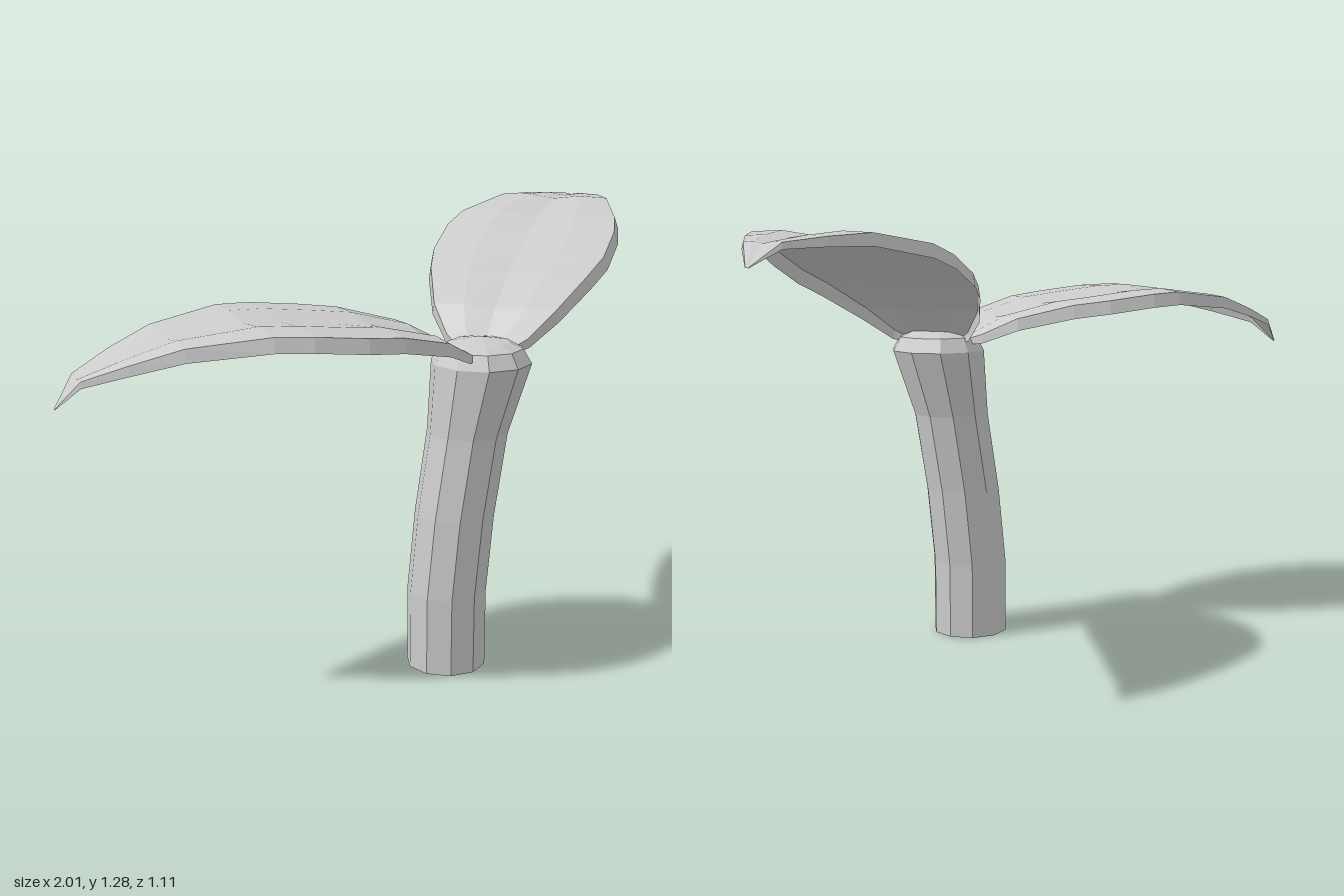
import * as THREE from 'three';

const material = new THREE.MeshStandardMaterial({
  color: 0xcccccc, flatShading: true, side: THREE.DoubleSide,
});

// Skins a surface over rows of points (all rows the same length)
function loft(name, rows) {
  const n = rows[0].length;
  const index = [];
  for (let r = 0; r < rows.length - 1; r++) {
    for (let c = 0; c < n - 1; c++) {
      const a = r * n + c, b = a + n;
      index.push(a, b, a + 1, a + 1, b, b + 1);
    }
  }
  const geometry = new THREE.BufferGeometry();
  geometry.setAttribute('position', new THREE.Float32BufferAttribute(rows.flat(2), 3));
  geometry.setIndex(index);
  geometry.computeVertexNormals();
  const mesh = new THREE.Mesh(geometry, material);
  mesh.name = name;
  return mesh;
}

// Ten-sided ring in the horizontal plane
function ring([x, y, radius]) {
  const sides = 10;
  return Array.from({ length: sides + 1 }, (_, i) => {
    const a = (i % sides) / sides * Math.PI * 2;
    return [x + radius * Math.cos(a), y, 0.28 + radius * Math.sin(a)];
  });
}

// Leaf growing along +x: distance, half width, height, rim depth
const LEAF = [
  [0.00, 0.09, -0.005, 0.02],
  [0.03, 0.125, 0.01, 0.03],
  [0.12, 0.19, 0.06, 0.04],
  [0.28, 0.25, 0.10, 0.045],
  [0.39, 0.275, 0.112, 0.045],
  [0.54, 0.275, 0.128, 0.045],
  [0.64, 0.255, 0.132, 0.045],
  [0.85, 0.18, 0.105, 0.04],
  [0.98, 0.12, 0.06, 0.03],
  [1.09, 0.055, 0.015, 0.02],
  [1.15, 0.004, -0.065, 0.002],
];

function leaf(name) {
  // Across: position, share of the rim drop (middle has a shallow groove)
  const across = [[1, 1], [0.96, 0.1], [0.48, 0], [0, 0.3], [-0.48, 0], [-0.96, 0.1], [-1, 1]];
  return loft(name, LEAF.map(([x, half, y, rim]) =>
    across.map(([f, drop]) => [x, y - rim * drop, half * f])));
}

export function createModel() {
  const group = new THREE.Group();
  group.name = 'sprout';

  // Curved stem, open below, flaring at the top
  const collar = [0.215, 0.9, 0.145];
  group.add(loft('stem', [
    [0.115, 0, 0.116], [0.115, 0.23, 0.116], [0.137, 0.46, 0.116],
    [0.174, 0.7, 0.117], collar,
  ].map(ring)));

  // Rounded cap closing the stem
  group.add(loft('stemCap', [
    collar, [0.213, 0.942, 0.122], [0.212, 0.958, 0.085], [0.211, 0.973, 0],
  ].map(ring)));

  // Level leaf on the right
  const rightLeaf = leaf('rightLeaf');
  rightLeaf.position.set(0.15, 0.945, 0.275);
  rightLeaf.rotation.y = Math.PI;
  group.add(rightLeaf);

  // Raised leaf on the left, reaching back
  const leftLeaf = leaf('leftLeaf');
  leftLeaf.position.set(0.235, 0.945, 0.255);
  leftLeaf.rotation.set(0, 0.814, 0.281, 'YZX');
  group.add(leftLeaf);

  return group;
}
